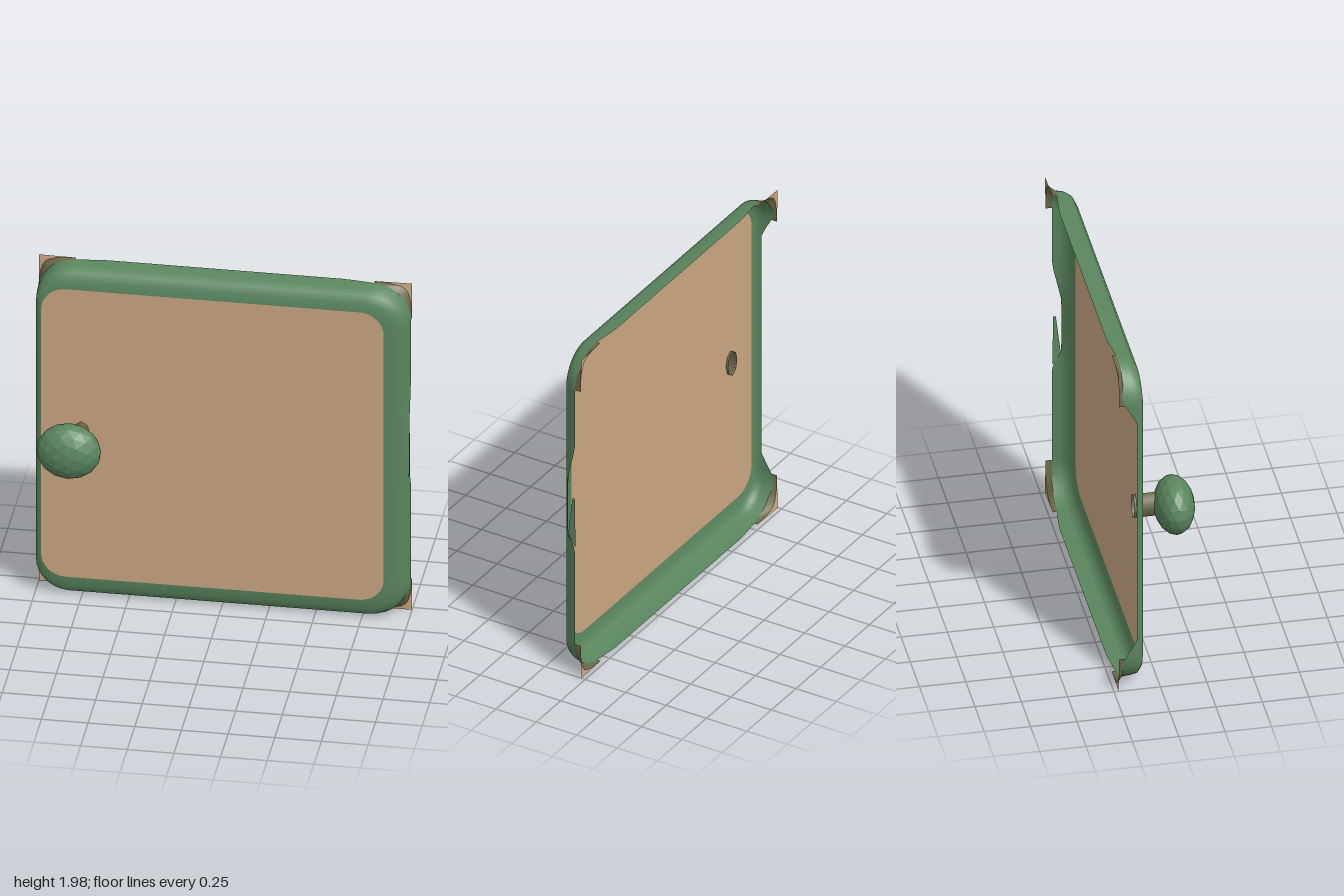
import * as THREE from 'three';

const mat = (name, color) => {
  const m = new THREE.MeshStandardMaterial({ color, side: THREE.DoubleSide });
  m.name = name;
  return m;
};
const ARC = 8, SIDE = 28, QUARTER = ARC + SIDE;
const clamp = THREE.MathUtils.clamp;

// Rounded-rectangle loop, counter-clockwise from the right side's top corner
function outline(x0, x1, y0, y1, r, z) {
  const centres = [[x1 - r, y1 - r], [x0 + r, y1 - r], [x0 + r, y0 + r], [x1 - r, y0 + r]];
  const pts = [];
  centres.forEach(([cx, cy], q) => {
    const at = (c, a) => new THREE.Vector3(c[0] + r * Math.cos(a), c[1] + r * Math.sin(a), z);
    for (let i = 0; i <= ARC; i++) pts.push(at([cx, cy], (q + i / ARC) * Math.PI / 2));
    const a = pts[pts.length - 1], b = at(centres[(q + 1) % 4], (q + 1) * Math.PI / 2);
    for (let i = 1; i < SIDE; i++) pts.push(a.clone().lerp(b, i / SIDE));
  });
  return pts;
}

// Depth of the open back edge: shallow on the left, notched on the right
function rimDepth(p) {
  if (p.x < -0.97) return -0.125 - 0.08 * clamp((Math.abs(p.y - 0.99) - 0.68) / 0.14, 0, 1);
  if (p.x > 0.97) {
    const notch = Math.min(clamp((p.y - 0.8) / 0.08, 0, 1), clamp((1.42 - p.y) / 0.22, 0, 1));
    return -0.187 + 0.05 * notch;
  }
  return -0.195 - 0.025 * clamp((0.85 - Math.abs(p.x)) / 0.2, 0, 1);
}

// Skin between successive loops, closed all the way round or limited to a span
function loft(rings, from = 0, to = rings[0].length) {
  const n = rings[0].length, pos = [], idx = [], w = to - from + 1;
  for (const ring of rings)
    for (let i = from; i <= to; i++) pos.push(...ring[i % n].toArray());
  for (let r = 0; r < rings.length - 1; r++)
    for (let i = 0; i < w - 1; i++) {
      const a = r * w + i, b = a + w;
      idx.push(a, b, a + 1, a + 1, b, b + 1);
    }
  const g = new THREE.BufferGeometry();
  g.setAttribute('position', new THREE.Float32BufferAttribute(pos, 3));
  g.setIndex(idx);
  g.computeVertexNormals();
  return g;
}

export function createModel() {
  const green = mat('green', 0x5a865e), tan = mat('tan', 0xcba782), olive = mat('olive', 0x6c684a);
  const knobGreen = green.clone();
  knobGreen.flatShading = true;
  const group = new THREE.Group();
  const add = (name, geometry, material) => {
    const m = new THREE.Mesh(geometry, material);
    m.name = name;
    group.add(m);
    return m;
  };

  // Rounded frame, open at the back
  const rings = [
    outline(-0.965, 0.87, 0.115, 1.86, 0.13, -0.086),
    outline(-0.985, 0.92, 0.06, 1.91, 0.15, -0.092),
    outline(-0.997, 0.965, 0.02, 1.95, 0.18, -0.112),
    outline(-1, 0.99, 0.005, 1.972, 0.2, -0.145),
    outline(-1, 1, 0, 1.98, 0.2, -0.23),
  ];
  for (const ring of rings.slice(3)) for (const p of ring) p.z = Math.max(p.z, rimDepth(p));
  add('frame', loft(rings), green);

  // Flat front panel with an opening behind the knob
  const shape = new THREE.Shape(rings[0].map((p) => new THREE.Vector2(p.x, p.y)));
  const hole = new THREE.Path();
  hole.absellipse(-0.75, 0.99, 0.045, 0.073, 0, Math.PI * 2, true);
  shape.holes.push(hole);
  add('panel', new THREE.ShapeGeometry(shape, 4), tan).position.z = -0.086;

  // Corner flares: an olive strip from the rim, then a tan plate out to the square corner
  const rim = rings[4];
  for (let q = 0; q < 4; q++) {
    const sx = q === 0 || q === 3 ? 1 : -1;
    const corner = new THREE.Vector3(sx, q < 2 ? 1.98 : 0, -0.226);
    const a = q * QUARTER, b = a + ARC;
    const middle = rim.map((p, i) => {
      const t = 0.4 * Math.sin(Math.PI * clamp((i - a) / ARC, 0, 1));
      const m = p.clone().lerp(corner, t);
      m.z = -0.222;
      return m;
    });
    add('cornerStrip', loft([rim, middle], a, b), olive);
    add('cornerPlate', loft([middle, rim.map(() => corner)], a, b), tan);
  }

  // Loose sliver beside the notch in the right wall
  const sliver = new THREE.Shape([[0.14, 0.86], [0.187, 0.8], [0.182, 1.1], [0.168, 1.1]]
    .map(([z, y]) => new THREE.Vector2(z, y)));
  const s = add('wallSliver', new THREE.ShapeGeometry(sliver), green);
  s.rotation.y = Math.PI / 2;
  s.position.x = 0.995;

  // Hollow stem and faceted knob
  const stem = add('knobStem', new THREE.CylinderGeometry(1, 1, 0.14, 8, 1, true).rotateX(Math.PI / 2), olive);
  stem.scale.set(0.046, 0.074, 1);
  stem.position.set(-0.75, 0.99, -0.03);
  const knob = add('knob', new THREE.IcosahedronGeometry(1, 2), knobGreen);
  knob.scale.set(0.173, 0.158, 0.109);
  knob.position.set(-0.785, 0.995, 0.116);
  return group;
}
